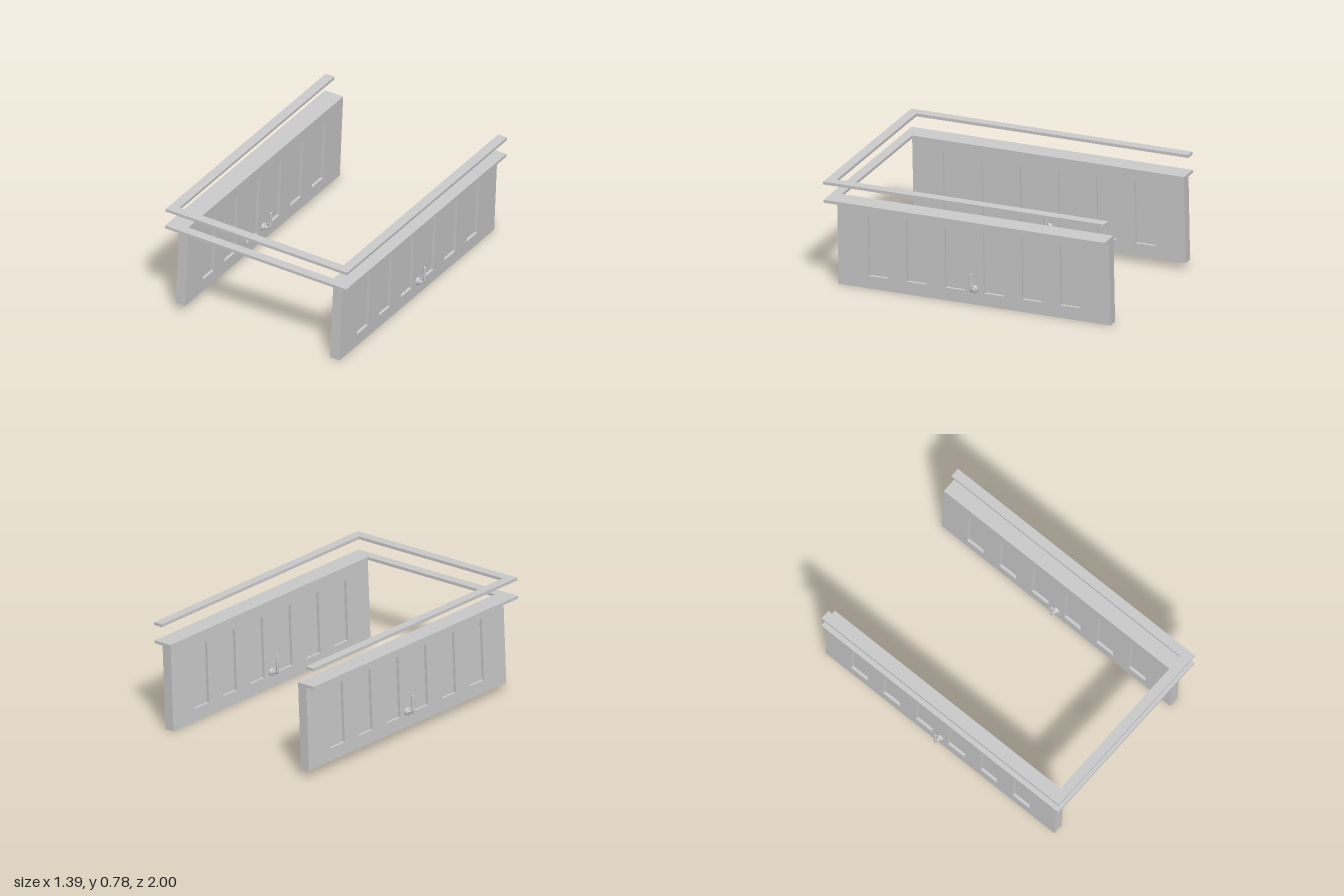
import * as THREE from 'three';

const FRONT = 0.934;       // inner edge of the front crossbar
const HALF_W = 0.686;      // half width of the rails
const WALL_X = 0.584, WALL_T = 0.07, WALL_H = 0.58;
const MID_Z = (FRONT - 1) / 2;

const flat = new THREE.MeshStandardMaterial({ color: 0xcccccc, flatShading: true });
const smooth = new THREE.MeshStandardMaterial({ color: 0xcccccc });

function mesh(name, geometry, material = flat) {
  const m = new THREE.Mesh(geometry, material);
  m.name = name;
  return m;
}

// U-shaped rail, open at the back
function rail(name, sideWidth, y) {
  const inner = HALF_W - sideWidth;
  const pts = [[-HALF_W, -1], [HALF_W, -1], [HALF_W, 1], [inner, 1],
    [inner, -FRONT], [-inner, -FRONT], [-inner, 1], [-HALF_W, 1]];
  const shape = new THREE.Shape(pts.map(p => new THREE.Vector2(...p)));
  const g = new THREE.ExtrudeGeometry(shape, { depth: 0.02, bevelEnabled: false });
  g.rotateX(-Math.PI / 2);
  const m = mesh(name, g);
  m.position.y = y;
  return m;
}

function rectangle(path, x0, y0, x1, y1) {
  path.moveTo(x0, y0);
  path.lineTo(x1, y0);
  path.lineTo(x1, y1);
  path.lineTo(x0, y1);
  path.closePath();
  return path;
}

// Rope hook: stepped flange and an upturned rod, pointing to +x
function hook(side) {
  const group = new THREE.Group();
  group.name = side + 'Hook';
  const profile = [[0, 0], [0.026, 0], [0.026, 0.014], [0.023, 0.017], [0.014, 0.018], [0.013, 0.029], [0, 0.03]];
  const flange = mesh('flange', new THREE.LatheGeometry(profile.map(p => new THREE.Vector2(...p)), 24), flat);
  flange.rotation.z = -Math.PI / 2;
  flange.position.x = WALL_T / 2;

  const path = new THREE.CurvePath();
  const v = (x, y) => new THREE.Vector3(x, y, 0);
  path.add(new THREE.LineCurve3(v(0.04, 0), v(0.066, 0)));
  path.add(new THREE.QuadraticBezierCurve3(v(0.066, 0), v(0.088, 0), v(0.088, 0.022)));
  path.add(new THREE.LineCurve3(v(0.088, 0.022), v(0.088, 0.12)));
  const rod = mesh('rod', new THREE.TubeGeometry(path, 32, 0.009, 12), smooth);
  const tip = mesh('rodTip', new THREE.CircleGeometry(0.009, 12));
  tip.rotation.x = -Math.PI / 2;
  tip.position.set(0.088, 0.12, 0);
  group.add(flange, rod, tip);
  return group;
}

// Side wall with six panels recessed on both faces, and a hook on each face
function wall(name) {
  const group = new THREE.Group();
  group.name = name;
  const shape = rectangle(new THREE.Shape(), -1, 0, FRONT, WALL_H);
  const w = 0.138, y0 = 0.088, y1 = 0.512;
  for (let i = 0; i < 6; i++) {
    const z = MID_Z + (i - 2.5) * 0.273;
    shape.holes.push(rectangle(new THREE.Path(), z - w / 2, y0, z + w / 2, y1));
    const panel = mesh('recessedPanel', new THREE.BoxGeometry(WALL_T - 0.04, y1 - y0, w));
    panel.position.set(0, (y0 + y1) / 2, z);
    group.add(panel);
  }
  const g = new THREE.ExtrudeGeometry(shape, { depth: WALL_T, bevelEnabled: false });
  g.translate(0, 0, -WALL_T / 2).rotateY(-Math.PI / 2);
  group.add(mesh('wallFrame', g));
  for (const s of [1, -1]) {
    const h = hook(s > 0 ? 'left' : 'right');
    h.position.set(0, 0.11, MID_Z);
    if (s < 0) h.rotation.y = Math.PI;
    group.add(h);
  }
  return group;
}

export function createModel() {
  const model = new THREE.Group();
  model.name = 'railing';
  // The whole structure leans slightly to its left
  const body = new THREE.Group();
  body.name = 'tiltedBody';
  body.position.set(-0.0195, 0.026, 0);
  body.rotation.z = -0.0424;
  for (const s of [1, -1]) {
    const side = wall(s > 0 ? 'leftWall' : 'rightWall');
    side.position.x = s * WALL_X;
    body.add(side);
  }
  body.add(rail('lowerRail', 0.137, WALL_H));
  body.add(rail('upperRail', 0.066, 0.707));
  model.add(body);
  return model;
}
